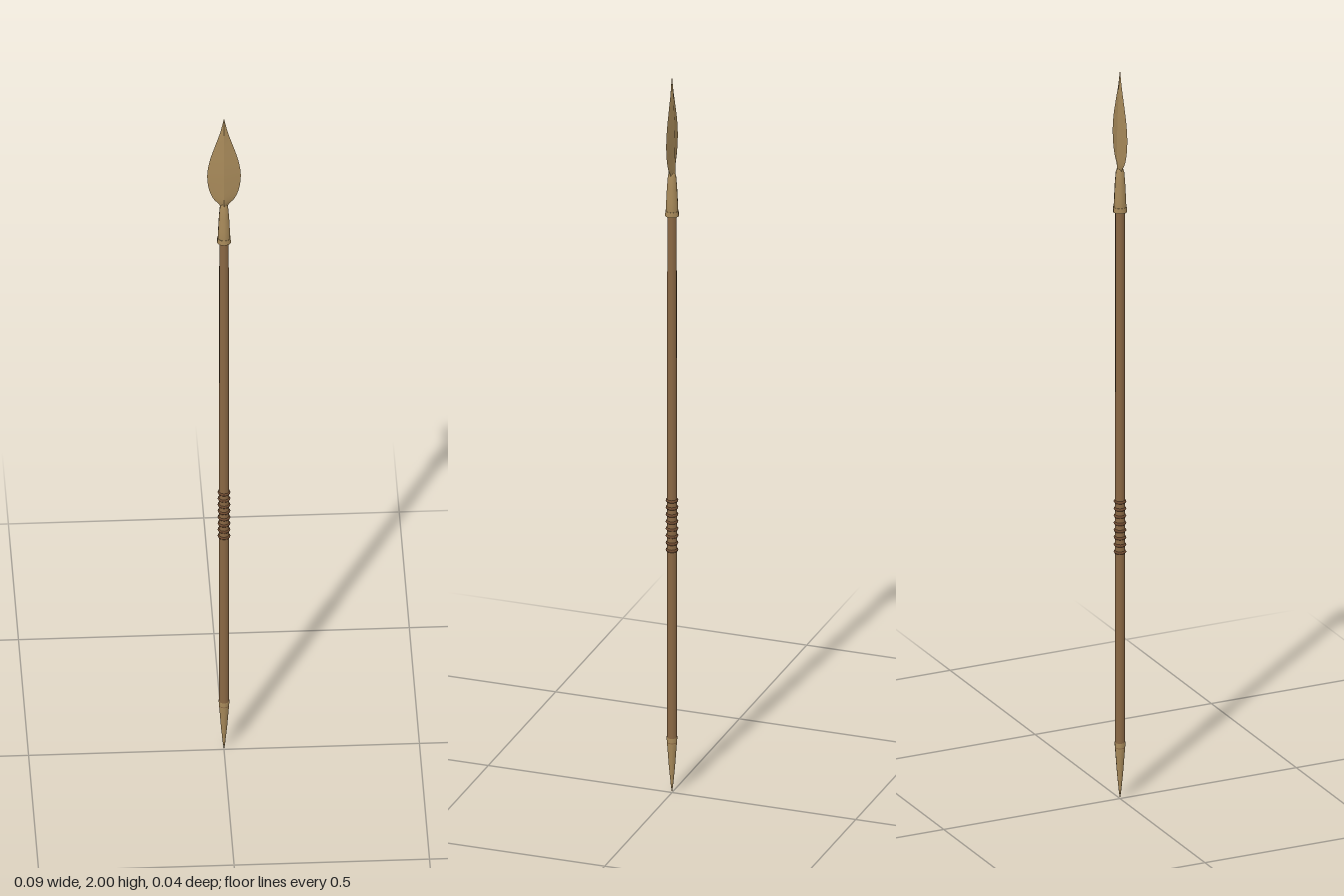
import * as THREE from 'three';

const wood = new THREE.MeshStandardMaterial({ color: 0x8a6844 });
const bronze = new THREE.MeshStandardMaterial({ color: 0xa88a5a });
const cord = new THREE.MeshStandardMaterial({ color: 0x6e4a30 });

function part(name, geometry, material, y = 0) {
  const mesh = new THREE.Mesh(geometry, material);
  mesh.name = name;
  mesh.position.y = y;
  return mesh;
}

// Round part from a [radius, height] profile, listed from bottom to top
function turned(profile, sides) {
  return new THREE.LatheGeometry(profile.map(([r, y]) => new THREE.Vector2(r, y)), sides);
}

// Leaf blade: diamond cross-sections [height, half width, half thickness],
// smooth along its length and creased at the midrib and both edges
function bladeGeometry() {
  const keys = [
    [1.71, 0.007, 0.009], [1.728, 0.012, 0.009], [1.745, 0.026, 0.009],
    [1.775, 0.038, 0.008], [1.82, 0.043, 0.008], [1.865, 0.037, 0.007],
    [1.91, 0.024, 0.005], [1.955, 0.01, 0.0035], [2.0, 0, 0],
  ];
  const curve = new THREE.CatmullRomCurve3(keys.map(([y, w, t]) => new THREE.Vector3(w, y, t)));
  const rows = curve.getPoints(32);
  const corners = [[1, 0], [0, 1], [-1, 0], [0, -1]];
  const positions = [];
  const indices = [];
  for (let side = 0; side < 4; side++) {
    const base = positions.length / 3;
    const a = corners[side];
    const b = corners[(side + 1) % 4];
    rows.forEach((p, i) => {
      for (const [cx, cz] of [a, b]) positions.push(cx * p.x, p.y, cz * p.z);
      if (i === 0) return;
      const k = base + i * 2;
      indices.push(k - 2, k, k - 1, k - 1, k, k + 1);
    });
  }
  const geometry = new THREE.BufferGeometry();
  geometry.setAttribute('position', new THREE.Float32BufferAttribute(positions, 3));
  geometry.setIndex(indices);
  geometry.computeVertexNormals();
  return geometry;
}

export function createModel() {
  const spear = new THREE.Group();
  spear.name = 'spear';

  // Shaft
  spear.add(part('shaft', new THREE.CylinderGeometry(0.0125, 0.0135, 1.49, 10), wood, 0.885));

  // Pointed butt at the foot
  spear.add(part('buttSpike', turned(
    [[0, 0], [0.003, 0.02], [0.008, 0.07], [0.0125, 0.13], [0.0145, 0.155], [0.012, 0.155]], 10), bronze));

  // Cord grip: stacked rings around the shaft
  const grip = new THREE.Group();
  grip.name = 'grip';
  const turns = 8;
  for (let i = 0; i < turns; i++) {
    const ring = new THREE.TorusGeometry(0.0125, 0.004, 6, 12);
    ring.rotateX(Math.PI / 2);
    grip.add(part('cordRing', ring, cord, 0.678 + (0.138 * i) / (turns - 1)));
  }
  spear.add(grip);

  // Socket with a collar, tapering up into the blade
  spear.add(part('socket', turned(
    [[0.0125, 1.612], [0.017, 1.612], [0.0155, 1.65], [0.0135, 1.69], [0.011, 1.72], [0.006, 1.735], [0, 1.737]], 10), bronze));
  spear.add(part('socketCollar', new THREE.CylinderGeometry(0.0175, 0.0185, 0.014, 10), bronze, 1.617));

  spear.add(part('blade', bladeGeometry(), bronze));
  return spear;
}
